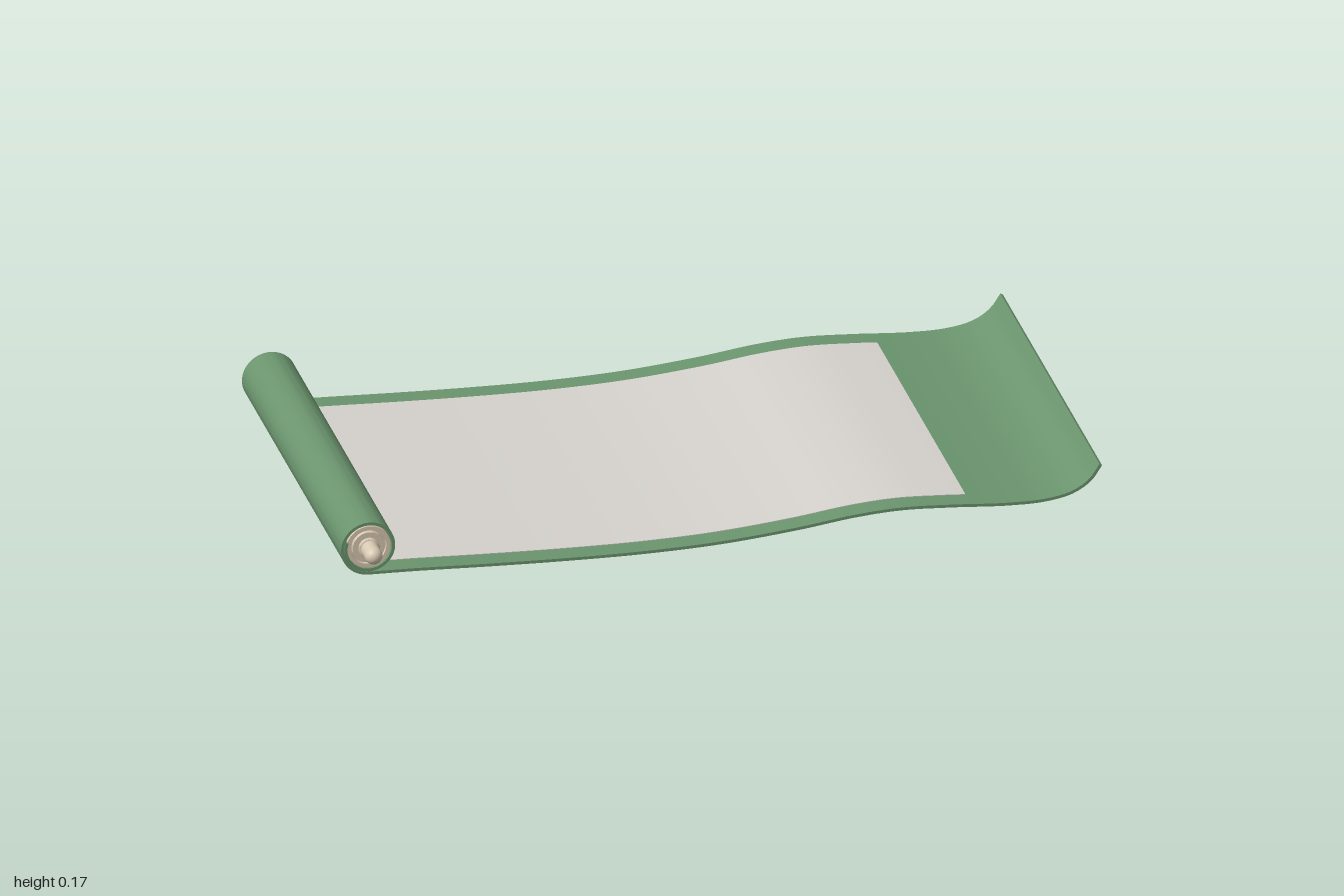
import * as THREE from 'three';
import { toCreasedNormals } from 'three/addons/utils/BufferGeometryUtils.js';

const green = new THREE.MeshStandardMaterial({ color: 0x6b956e });
const paper = new THREE.MeshStandardMaterial({ color: 0xd6d3ce });
const wood = new THREE.MeshStandardMaterial({ color: 0xd9c9b3 });

const ROLL_X = -0.925, ROLL_Y = 0.106, ROLL_R = 0.0715;
const HALF_WIDTH = 0.517;

// Thick ribbon along a centre line in xy, between two offsets, extruded in z
function ribbon(points, low, high, halfWidth) {
  const offset = d => points.map((p, i) => {
    const a = points[Math.max(i - 1, 0)], b = points[Math.min(i + 1, points.length - 1)];
    const t = b.clone().sub(a).normalize();
    return new THREE.Vector2(p.x - t.y * d, p.y + t.x * d);
  });
  const shape = new THREE.Shape([...offset(low), ...offset(high).reverse()]);
  const geo = new THREE.ExtrudeGeometry(shape, { depth: halfWidth * 2, bevelEnabled: false });
  geo.translate(0, 0, -halfWidth);
  return toCreasedNormals(geo, 0.6);
}

function add(group, name, geo, material) {
  const mesh = new THREE.Mesh(geo, material);
  mesh.name = name;
  group.add(mesh);
  return mesh;
}

// Lathe around the z axis of the roll
function turned(profile) {
  const geo = new THREE.LatheGeometry(profile.map(([r, z]) => new THREE.Vector2(r, z)), 40);
  geo.rotateX(Math.PI / 2);
  return toCreasedNormals(geo, 0.6);
}

export function createModel() {
  const group = new THREE.Group();
  group.name = 'scroll';

  // Wavy open part, curling up at the free end
  const wave = new THREE.CatmullRomCurve3([
    [-0.925, 0.0345], [-0.8, 0.030], [-0.6, 0.020], [-0.4, 0.012], [-0.2, 0.008], [0, 0.012],
    [0.2, 0.028], [0.35, 0.046], [0.47, 0.052], [0.6, 0.045], [0.75, 0.033], [0.85, 0.033],
    [0.92, 0.047], [0.966, 0.076], [0.994, 0.116],
  ].map(([x, y]) => new THREE.Vector3(x, y, 0)));
  const open = wave.getSpacedPoints(110).map(p => new THREE.Vector2(p.x, p.y));

  // Rolled part winds inward from the bottom of the roll
  const spiral = [];
  for (let i = 80; i > 0; i--) {
    const turn = (i / 80) * 1.3, a = -Math.PI / 2 - turn * Math.PI * 2;
    const r = ROLL_R - turn * 0.009;
    spiral.push(new THREE.Vector2(ROLL_X + Math.cos(a) * r, ROLL_Y + Math.sin(a) * r));
  }
  add(group, 'backing sheet', ribbon([...spiral, ...open], -0.004, 0.004, HALF_WIDTH), green);

  // Writing surface laid on the open part
  const page = open.filter(p => p.x > -0.9 && p.x < 0.665);
  add(group, 'page', ribbon(page, 0.003, 0.0055, 0.46), paper);

  // Wound core with a stepped face at each end
  const half = [[0.058, 0.512], [0.047, 0.512], [0.046, 0.505], [0.043, 0.505],
    [0.042, 0.514], [0.027, 0.514], [0.027, 0.524], [0.022, 0.526]];
  const core = turned([...half.map(([r, z]) => [r, -z]).reverse(), ...half]);
  add(group, 'wound core', core, wood).position.set(ROLL_X, ROLL_Y, 0);

  // Rod with rounded ends
  const rod = new THREE.CapsuleGeometry(0.023, 1.128, 10, 28).rotateX(Math.PI / 2);
  add(group, 'rod', rod, wood).position.set(ROLL_X, ROLL_Y, 0);

  return group;
}
